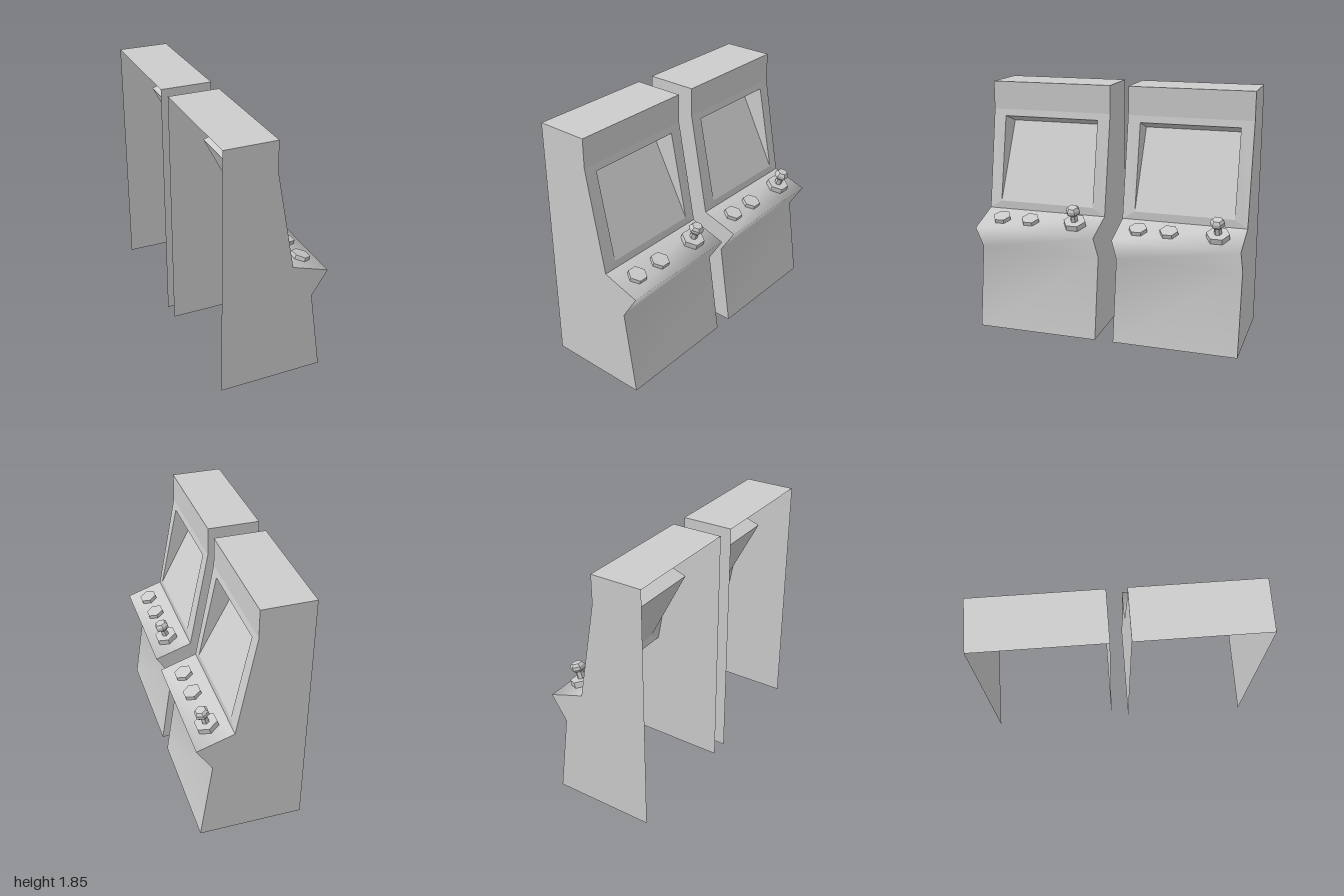
import * as THREE from 'three';

const grey = new THREE.MeshStandardMaterial({ color: 0xcccccc, side: THREE.DoubleSide });
const flat = new THREE.MeshStandardMaterial({ color: 0xcccccc, flatShading: true });

const HALF = 0.465; // half width of a cabinet
const OPEN = 0.37;  // half width of the screen opening

// Side outline, x towards the player
const back = [-0.4, 1.85], topFront = [-0.02, 1.85], brow = [-0.02, 1.64], ledge = [0.12, 0.89],
  lip = [0.39, 0.8], knee = [0.275, 0.62], toe = [0.365, 0];
// Screen recess section
const openTop = [-0.01, 1.59], deepTop = [-0.18, 1.53], openBottom = [0.12, 0.95];

function add(parent, name, geometry, material = grey) {
  const mesh = new THREE.Mesh(geometry, material);
  mesh.name = name;
  parent.add(mesh);
  return mesh;
}

// Panel swept across the cabinet, smooth along its section
function strip(points) {
  const pos = [], index = [];
  points.forEach(([x, y], i) => {
    pos.push(x, y, HALF, x, y, -HALF);
    const k = 2 * i;
    if (i) index.push(k - 2, k, k - 1, k - 1, k, k + 1);
  });
  const g = new THREE.BufferGeometry();
  g.setAttribute('position', new THREE.Float32BufferAttribute(pos, 3));
  g.setIndex(index);
  g.computeVertexNormals();
  return g;
}

// Flat polygons, each a list of [section point, z]
function facets(polygons) {
  const pos = [];
  for (const poly of polygons)
    for (let i = 1; i < poly.length - 1; i++)
      for (const [p, z] of [poly[0], poly[i], poly[i + 1]]) pos.push(p[0], p[1], z);
  const g = new THREE.BufferGeometry();
  g.setAttribute('position', new THREE.Float32BufferAttribute(pos, 3));
  g.computeVertexNormals();
  return g;
}

function createCabinet() {
  const cabinet = new THREE.Group();
  cabinet.name = 'cabinet';

  // Side walls
  const outline = new THREE.Shape([[-0.4, 0], toe, knee, lip, ledge, brow, topFront, back]
    .map(([x, y]) => new THREE.Vector2(x, y)));
  add(cabinet, 'leftWall', new THREE.ShapeGeometry(outline)).position.z = HALF;
  const right = new THREE.ShapeGeometry(outline);
  const idx = right.index.array;
  for (let i = 0; i < idx.length; i += 3) [idx[i], idx[i + 1]] = [idx[i + 1], idx[i]];
  right.deleteAttribute('normal');
  right.computeVertexNormals();
  add(cabinet, 'rightWall', right).position.z = -HALF;

  // Roof, header and lower front; back and underside stay open
  add(cabinet, 'roof', strip([back, topFront]));
  add(cabinet, 'header', strip([topFront, brow]));
  add(cabinet, 'consoleAndFront', strip([ledge, lip, knee, toe]));

  // Sloping frame around the screen
  const outer = [[ledge, HALF], [ledge, -HALF], [brow, -HALF], [brow, HALF]];
  const inner = [[openBottom, OPEN], [openBottom, -OPEN], [openTop, -OPEN], [openTop, OPEN]];
  add(cabinet, 'bezel', facets(outer.map((o, i) => {
    const j = (i + 1) % 4;
    return [o, outer[j], inner[j], inner[i]];
  })));

  // Recess: hood, cheeks and screen
  add(cabinet, 'recess', facets([
    [[deepTop, OPEN], [deepTop, -OPEN], [openTop, -OPEN], [openTop, OPEN]],
    [[openTop, OPEN], [openBottom, OPEN], [deepTop, OPEN]],
    [[openTop, -OPEN], [deepTop, -OPEN], [openBottom, -OPEN]],
  ]));
  add(cabinet, 'screen', facets([
    [[openBottom, OPEN], [openBottom, -OPEN], [deepTop, -OPEN], [deepTop, OPEN]],
  ]));

  // Controls standing square to the console
  const controls = new THREE.Group();
  controls.name = 'controls';
  controls.position.set((ledge[0] + lip[0]) / 2, (ledge[1] + lip[1]) / 2, 0);
  controls.rotation.z = Math.atan2(lip[1] - ledge[1], lip[0] - ledge[0]);
  cabinet.add(controls);
  for (const z of [0.305, 0.075])
    add(controls, 'button', new THREE.CylinderGeometry(0.068, 0.068, 0.03, 6), flat).position.set(0, 0.015, z);

  const stick = new THREE.Group();
  stick.name = 'joystick';
  stick.position.z = -0.28;
  controls.add(stick);
  add(stick, 'stickBase', new THREE.CylinderGeometry(0.085, 0.085, 0.042, 6), flat).position.y = 0.021;
  add(stick, 'stickShaft', new THREE.CylinderGeometry(0.028, 0.028, 0.08, 6), flat).position.y = 0.075;
  const knob = [[0, 0.098], [0.038, 0.098], [0.053, 0.115], [0.053, 0.14], [0.038, 0.16], [0, 0.16]];
  add(stick, 'stickKnob', new THREE.LatheGeometry(knob.map(([r, y]) => new THREE.Vector2(r, y)), 6), flat);

  return cabinet;
}

export function createModel() {
  const model = new THREE.Group();
  model.name = 'arcadeCabinets';
  for (const z of [0.535, -0.535]) {
    const cabinet = createCabinet();
    cabinet.position.z = z;
    model.add(cabinet);
  }
  return model;
}
